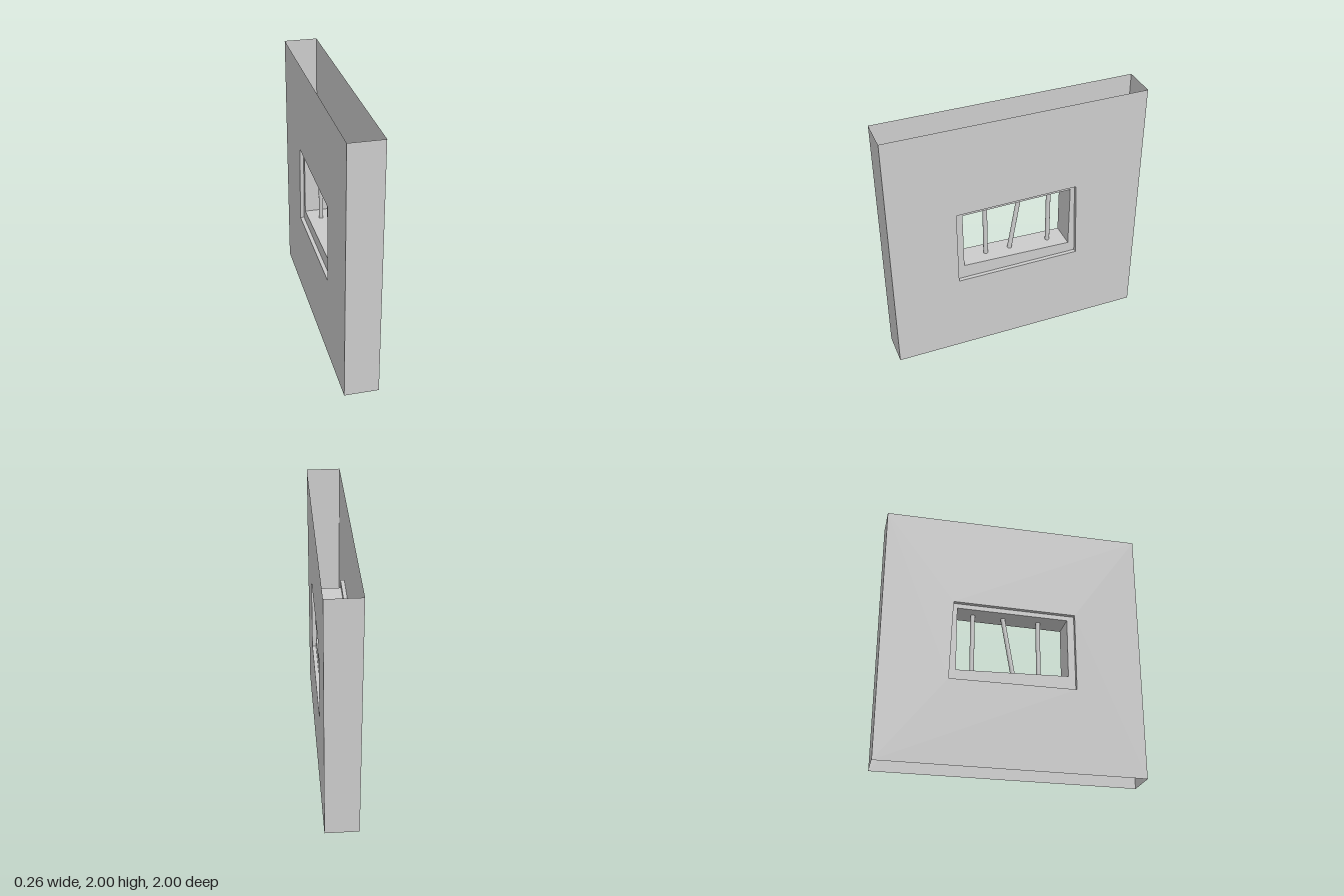
import * as THREE from 'three';

const material = new THREE.MeshStandardMaterial({ color: 0xcccccc, flatShading: true, side: THREE.DoubleSide });
const barMaterial = new THREE.MeshStandardMaterial({ color: 0xcccccc, side: THREE.DoubleSide });

const HALF = 0.13;   // half the wall thickness
const INSET = 0.1;   // depth at which the window frame sits

// Four-cornered outlines as [z, y], counter-clockwise seen from +x
const wallEdge = [[1, 0], [-1, 0], [-1, 2], [1, 2]];
const recessEdge = [[0.485, 0.657], [-0.485, 0.657], [-0.463, 1.288], [0.485, 1.276]];
const openingEdge = [[0.43, 0.771], [-0.43, 0.743], [-0.43, 1.251], [0.43, 1.24]];

// Quads joining outline a at xa to outline b at xb, for the chosen edges
function band(name, a, xa, b, xb, edges = [0, 1, 2, 3]) {
  const positions = [];
  for (const i of edges) {
    const j = (i + 1) % 4;
    const quad = [[xa, a[i]], [xa, a[j]], [xb, b[j]], [xb, b[i]]];
    for (const k of [0, 1, 2, 0, 2, 3]) {
      const [x, [z, y]] = quad[k];
      positions.push(x, y, z);
    }
  }
  const geometry = new THREE.BufferGeometry();
  geometry.setAttribute('position', new THREE.Float32BufferAttribute(positions, 3));
  geometry.computeVertexNormals();
  const mesh = new THREE.Mesh(geometry, material);
  mesh.name = name;
  return mesh;
}

// Round bar between two [z, y] points in the middle of the wall
function bar(name, [z0, y0], [z1, y1]) {
  const from = new THREE.Vector3(0, y0, z0);
  const to = new THREE.Vector3(0, y1, z1);
  const mesh = new THREE.Mesh(new THREE.CylinderGeometry(0.0175, 0.0175, from.distanceTo(to), 16), barMaterial);
  mesh.position.copy(from).add(to).multiplyScalar(0.5);
  mesh.quaternion.setFromUnitVectors(new THREE.Vector3(0, 1, 0), to.sub(from).normalize());
  mesh.name = name;
  return mesh;
}

export function createModel() {
  const model = new THREE.Group();
  model.name = 'barredWindowWall';

  // Hollow wall, open at top and bottom
  const wall = new THREE.Group();
  wall.name = 'wall';
  wall.add(
    band('leftWallFace', wallEdge, HALF, recessEdge, HALF),
    band('rightWallFace', recessEdge, -HALF, wallEdge, -HALF),
    band('wallEnds', wallEdge, -HALF, wallEdge, HALF, [1, 3]),
  );

  // Crooked window, recessed on both faces
  const frame = new THREE.Group();
  frame.name = 'windowFrame';
  frame.add(
    band('leftRecess', recessEdge, HALF, recessEdge, INSET),
    band('leftFrame', recessEdge, INSET, openingEdge, INSET),
    band('windowTunnel', openingEdge, INSET, openingEdge, -INSET),
    band('rightFrame', openingEdge, -INSET, recessEdge, -INSET),
    band('rightRecess', recessEdge, -INSET, recessEdge, -HALF),
  );

  // Two upright bars and a leaning one
  const bars = new THREE.Group();
  bars.name = 'windowBars';
  bars.add(
    bar('frontBar', [0.222, 0.764], [0.222, 1.243]),
    bar('leaningBar', [0.026, 0.758], [-0.058, 1.248]),
    bar('backBar', [-0.294, 0.748], [-0.294, 1.249]),
  );

  model.add(wall, frame, bars);
  return model;
}
